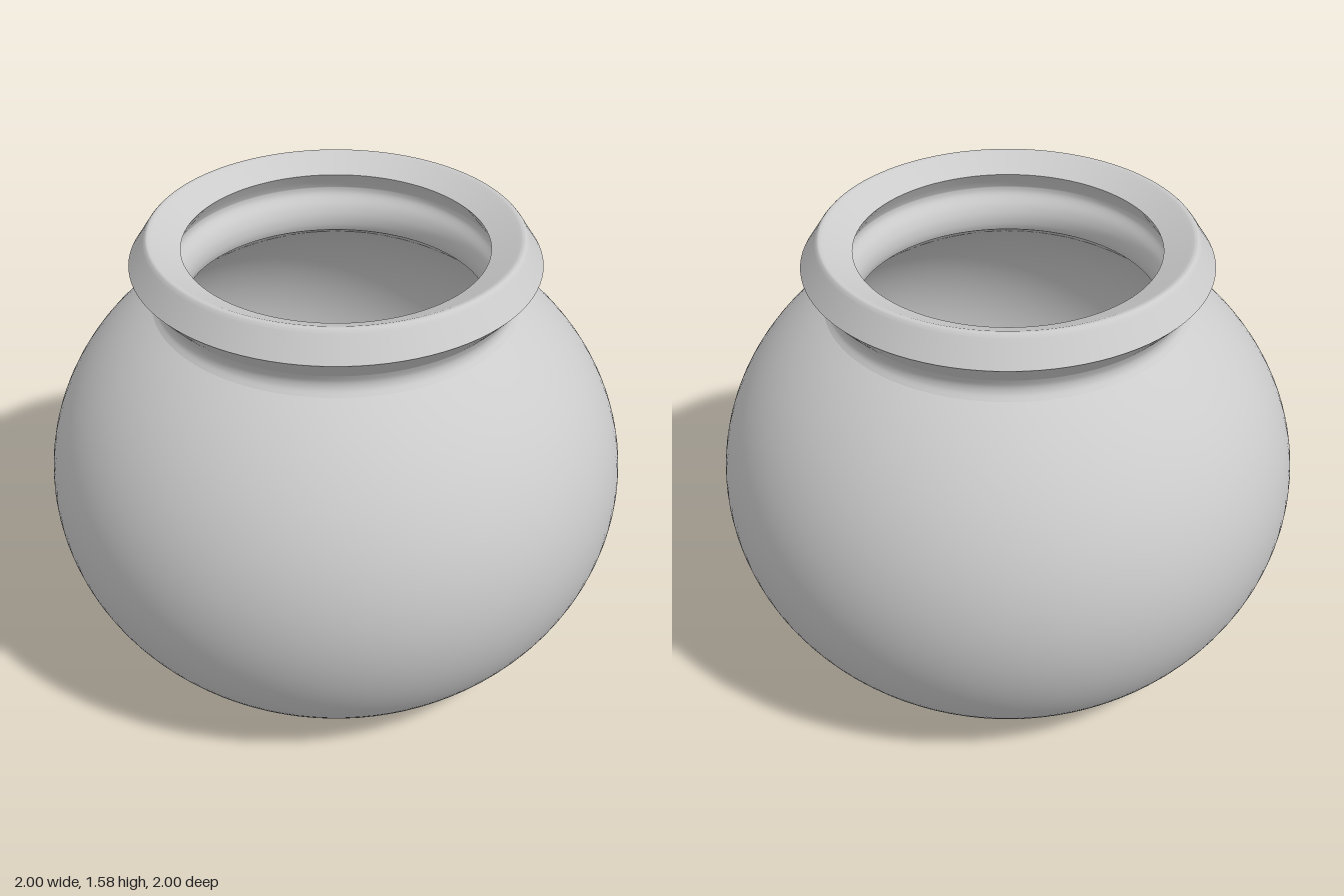
import * as THREE from 'three';

const SEGMENTS = 96;
const MID = 0.665; // height of the widest point

export function createModel() {
  const group = new THREE.Group();
  group.name = 'pot';
  const material = new THREE.MeshStandardMaterial({ color: 0xcccccc });

  // Revolve one smooth stretch of profile; edges between parts stay sharp
  const turn = (name, points) => {
    const profile = points.map(([r, y]) => new THREE.Vector2(r, y));
    const mesh = new THREE.Mesh(new THREE.LatheGeometry(profile, SEGMENTS), material);
    mesh.name = name;
    group.add(mesh);
  };

  // Elliptical arc between two heights
  const arc = (rx, ry, y0, y1, n = 48) => {
    const a0 = Math.asin((y0 - MID) / ry), a1 = Math.asin((y1 - MID) / ry);
    return Array.from({ length: n + 1 }, (_, i) => {
      const a = a0 + (a1 - a0) * i / n;
      return [rx * Math.cos(a), MID + ry * Math.sin(a)];
    });
  };

  // Smooth curve through a few profile points
  const smooth = (points, n = 20) =>
    new THREE.SplineCurve(points.map(p => new THREE.Vector2(...p)))
      .getPoints(n).map(p => [p.x, p.y]);

  // Outside, from the base up to the rim
  const outer = arc(1, 0.843, 0, 1.33);
  turn('base', [[0, 0], outer[0]]);
  turn('body', outer);
  turn('neck', [
    ...smooth([outer.at(-1), [0.6, 1.35], [0.597, 1.375], [0.608, 1.405]]),
    [0.64, 1.44], [0.68, 1.485],
  ]);
  turn('rim', [
    [0.68, 1.485], [0.635, 1.555],
    ...smooth([[0.628, 1.566], [0.617, 1.577], [0.603, 1.576]], 8),
    [0.59, 1.57], [0.508, 1.53],
  ]);

  // Inside, from the lip down to the floor
  const inner = arc(0.9, 0.785, 1.31, 0.08);
  turn('innerNeck', [
    [0.508, 1.53], [0.535, 1.49],
    ...smooth([[0.548, 1.465], [0.545, 1.44], [0.52, 1.405], [0.507, 1.37], [0.506, 1.335], inner[0]]),
  ]);
  turn('innerWall', inner);
  turn('floor', [inner.at(-1), [0, 0.08]]);

  return group;
}
